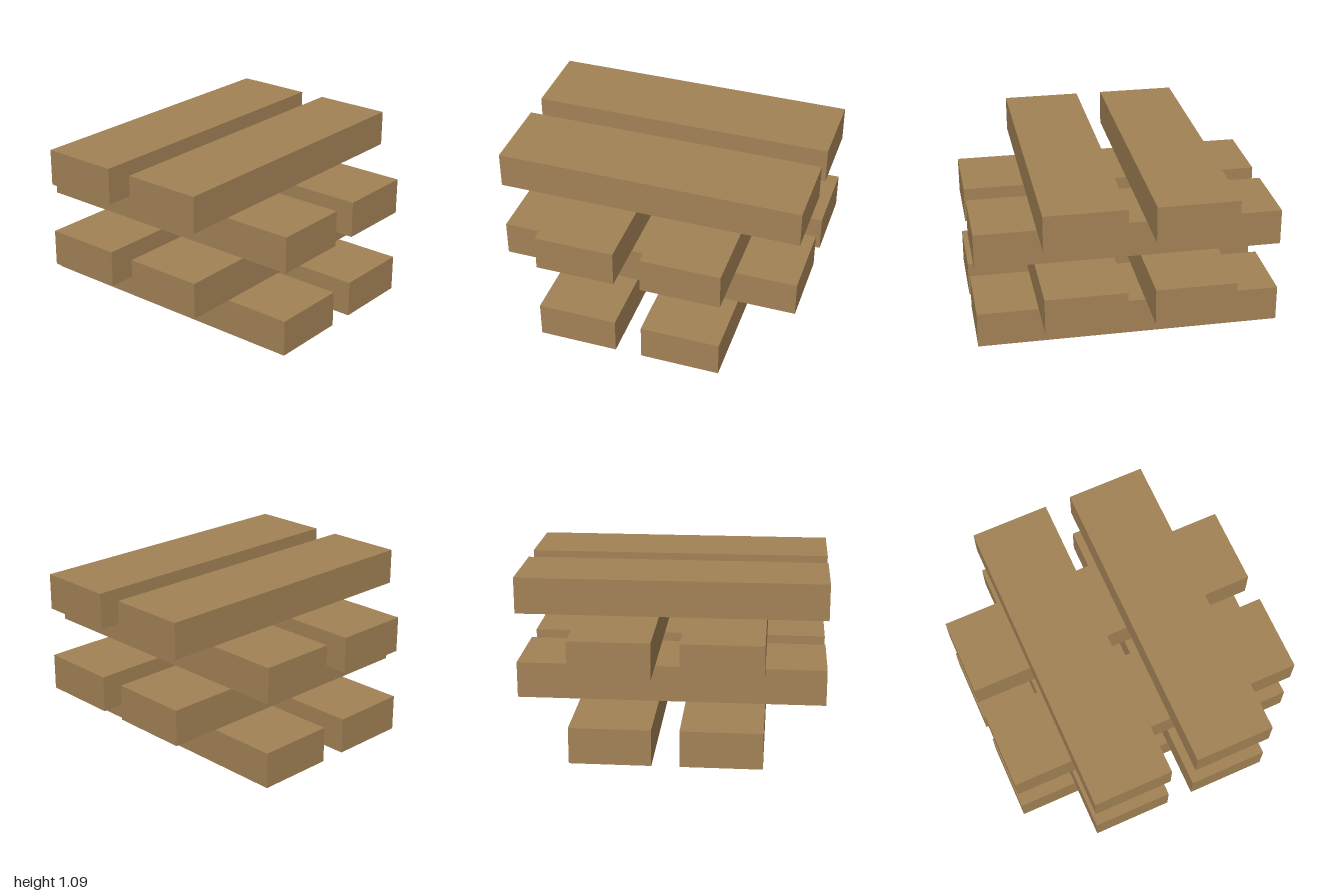
import * as THREE from 'three';

const LENGTH = 2, WIDTH = 0.52, HEIGHT = 0.238;
const PITCH = 0.284;   // vertical distance between layers
const OFFSET = 0.348;  // beam centre from the middle
const LAYERS = 4;

// Hollow beam along x: a box without its underside
function beamGeometry() {
  const geometry = new THREE.BoxGeometry(LENGTH, HEIGHT, WIDTH);
  const index = Array.from(geometry.index.array);
  index.splice(18, 6); // the downward face
  geometry.setIndex(index);
  geometry.clearGroups();
  return geometry;
}

export function createModel() {
  const wood = new THREE.MeshStandardMaterial({ color: 0xa38256, side: THREE.DoubleSide });
  wood.name = 'wood';

  const stack = new THREE.Group();
  stack.name = 'beamStack';
  const geometry = beamGeometry();

  // Pairs of beams, each layer turned a quarter from the one below
  for (let i = 0; i < LAYERS; i++) {
    const layer = new THREE.Group();
    layer.name = `layer${i + 1}`;
    for (const side of [-1, 1]) {
      const beam = new THREE.Mesh(geometry, wood);
      beam.name = side < 0 ? 'beamA' : 'beamB';
      beam.position.z = side * OFFSET;
      layer.add(beam);
    }
    layer.position.y = HEIGHT / 2 + i * PITCH;
    layer.rotation.y = (i % 2) * Math.PI / 2;
    stack.add(layer);
  }
  return stack;
}
